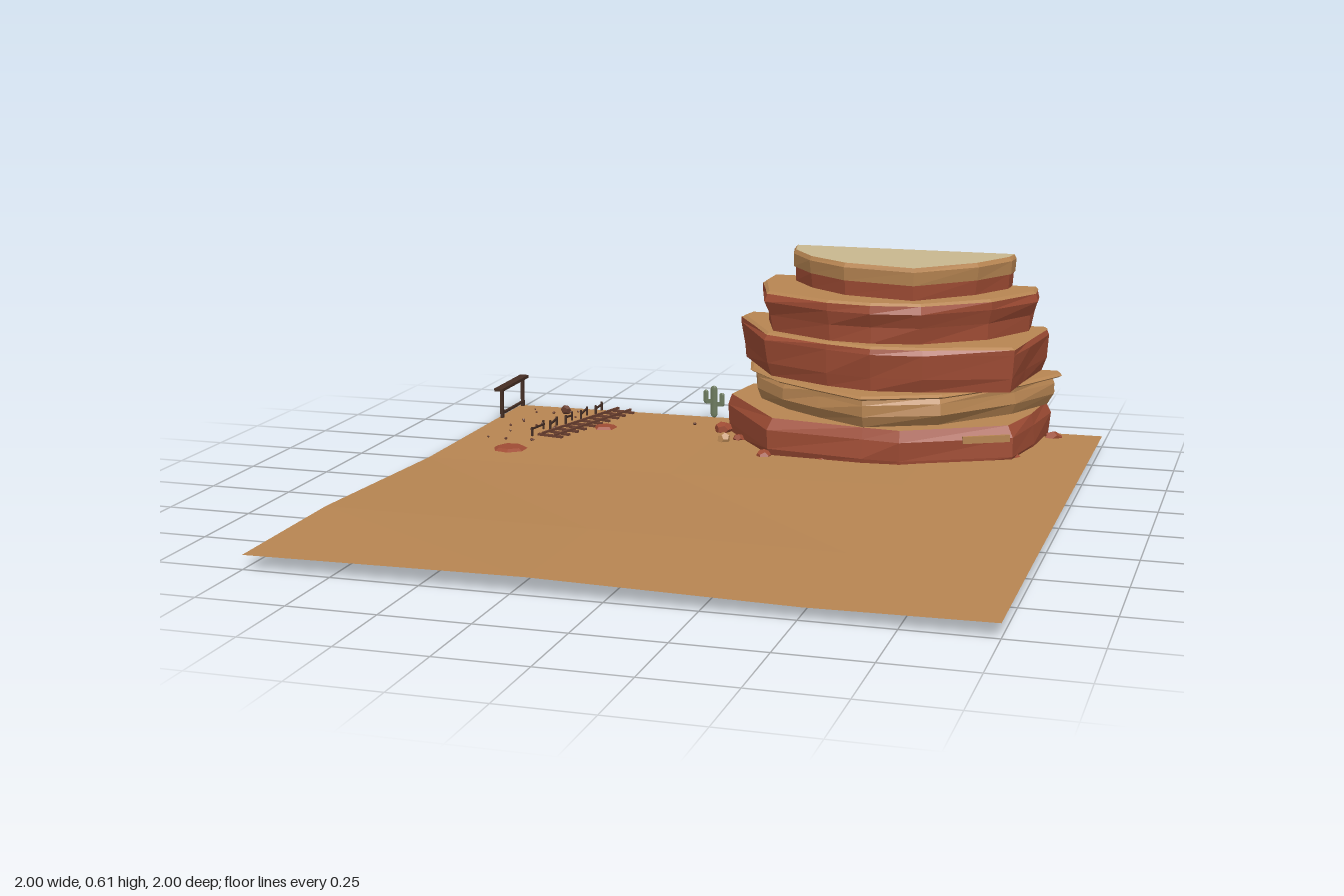
import * as THREE from 'three';

const mat = (name, color, side = THREE.FrontSide) => {
  const m = new THREE.MeshStandardMaterial({ color, side, flatShading: true });
  m.name = name;
  return m;
};

export function createModel() {
  const root = new THREE.Group();
  root.name = 'desertMesa';
  // Ground and rock layers are open shells
  const sand = mat('sand', 0xb78552, THREE.DoubleSide);
  const red = mat('redRock', 0x9f4c34, THREE.DoubleSide);
  const cap = mat('paleCap', 0xc8b78f, THREE.DoubleSide);
  const wood = mat('darkWood', 0x452e24);
  const plank = mat('sleeperWood', 0x6b4030);
  const green = mat('cactusGreen', 0x6c7a5e);

  const add = (name, geo, material, x = 0, y = 0, z = 0, parent = root) => {
    const m = new THREE.Mesh(geo, material);
    m.name = name;
    m.position.set(x, y, z);
    parent.add(m);
    return m;
  };
  const group = (name) => {
    const g = new THREE.Group();
    g.name = name;
    root.add(g);
    return g;
  };
  let seed = 7;
  const rand = () => (seed = (seed * 16807) % 2147483647) / 2147483647;

  // Ground: a few large, gently tilted facets
  const lines = [-1, -0.21, 0.51, 1];
  const heights = [
    [0.008, 0.01, 0.03, 0.031],
    [0.01, 0.014, 0.033, 0.034],
    [0.04, 0.037, 0.028, 0.036],
    [0.036, 0.044, 0.03, 0.035],
  ];
  const ground = new THREE.PlaneGeometry(2, 2, 3, 3).rotateX(-Math.PI / 2).rotateY(Math.PI / 2);
  const gp = ground.attributes.position;
  for (let i = 0; i < gp.count; i++) {
    const c = Math.round((gp.getX(i) + 1) * 1.5), r = Math.round((gp.getZ(i) + 1) * 1.5);
    gp.setXYZ(i, lines[c], heights[r][c], lines[r]);
  }
  ground.computeVertexNormals();
  add('ground', ground, sand);

  // Rock layer: outline open at the back, swept through [y, scale] rings, capped above and below
  const mesa = group('mesa');
  const cx = 0.33, cz = -1;
  const layer = (name, outline, rings, wall, top, rough = 0.008) => {
    const loops = rings.map(([y, s], k) => outline.map(([x, z], i) => {
      const f = s + rough * Math.sin(i * 2.3 + k * 1.9);
      return [cx + (x - cx) * f, y, cz + (z - cz) * f];
    }));
    const pos = [];
    const tri = (...p) => p.forEach((v) => pos.push(...v));
    const n = outline.length - 1;
    for (let k = 0; k < loops.length - 1; k++) {
      const a = loops[k], b = loops[k + 1];
      for (let i = 0; i < n; i++) {
        tri(a[i], a[i + 1], b[i + 1]);
        tri(a[i], b[i + 1], b[i]);
      }
    }
    const wallCount = pos.length / 3;
    const lo = loops[0], hi = loops[loops.length - 1];
    for (let i = 0; i < n; i++) {
      tri([cx, hi[0][1], cz], hi[i], hi[i + 1]);
      tri([cx, lo[0][1], cz], lo[i + 1], lo[i]);
    }
    const g = new THREE.BufferGeometry();
    g.setAttribute('position', new THREE.Float32BufferAttribute(pos, 3));
    g.computeVertexNormals();
    g.addGroup(0, wallCount, 0);
    g.addGroup(wallCount, n * 6, 1);
    add(name, g, [wall, top], 0, 0, 0, mesa);
  };

  const base = [[-0.18, -1], [-0.2, -0.82], [0.02, -0.5], [0.33, -0.455], [0.45, -0.445], [0.77, -0.61], [0.81, -0.8], [0.83, -1]];
  const shelf = [[-0.17, -1], [-0.11, -0.77], [0.02, -0.62], [0.16, -0.53], [0.33, -0.43], [0.565, -0.53], [0.77, -0.77], [0.87, -0.96], [0.86, -1]];
  const middle = [[-0.18, -1], [-0.19, -0.94], [-0.03, -0.65], [0.19, -0.55], [0.34, -0.51], [0.5, -0.53], [0.77, -0.62], [0.79, -0.78], [0.82, -1]];
  const upper = [[-0.1, -1], [-0.1, -0.88], [-0.035, -0.67], [0.19, -0.56], [0.33, -0.545], [0.485, -0.57], [0.68, -0.72], [0.79, -0.91], [0.785, -1]];
  const crown = [[-0.02, -1], [0, -0.9], [0.085, -0.775], [0.22, -0.67], [0.45, -0.62], [0.62, -0.785], [0.7, -0.935], [0.705, -1]];

  layer('baseLayer', base, [[0, 0.98], [0.04, 1], [0.1, 1], [0.135, 0.97]], red, sand);
  layer('tanLayer', shelf, [[0.135, 0.92], [0.17, 0.96], [0.205, 0.95], [0.225, 0.94]], sand, sand);
  layer('shelf', shelf, [[0.225, 0.98], [0.231, 1], [0.238, 0.98]], sand, sand, 0);
  layer('middleLayer', middle, [[0.238, 0.96], [0.28, 0.98], [0.355, 1], [0.372, 0.99]], red, sand);
  layer('middleRim', middle, [[0.372, 0.99], [0.379, 0.97]], sand, sand, 0);
  layer('upperLayer', upper, [[0.379, 0.95], [0.43, 0.96], [0.475, 1], [0.5, 0.99]], red, sand);
  layer('upperRim', upper, [[0.5, 0.99], [0.508, 0.97]], sand, sand, 0);
  layer('crownBase', crown, [[0.508, 0.98], [0.555, 0.99]], red, sand, 0.004);
  layer('crown', crown, [[0.555, 1], [0.597, 1.01], [0.61, 0.985]], sand, cap, 0.004);

  // Pale streak on the base layer
  const streak = add('paleStreak', new THREE.BoxGeometry(0.15, 0.022, 0.009), sand, 0.695, 0.1, -0.57, mesa);
  streak.rotation.y = 0.476;

  // Boulders round the foot of the mesa and on the flats
  const boulders = group('boulders');
  const boulder = (x, y, z, r, m) => {
    const b = add('boulder', new THREE.DodecahedronGeometry(r, 0), m, x, y, z, boulders);
    b.rotation.set(rand() * 3, rand() * 3, 0);
    b.scale.y = 0.75;
  };
  [[-0.21, -0.8, 0.03], [0.01, -0.49, 0.024], [-0.13, -0.7, 0.02], [0.2, -0.49, 0.024], [0.53, -0.505, 0.022],
    [0.77, -0.65, 0.026], [0.85, -0.95, 0.032]].forEach(([x, z, r]) => boulder(x, r * 0.75, z, r, red));
  boulder(-0.17, 0.022, -0.665, 0.022, sand);
  boulder(-0.8, 0.022, -0.91, 0.019, plank);

  // Pebbles scattered on the left flats
  for (let i = 0; i < 18; i++) {
    boulder(-0.97 + rand() * 0.23, 0.017, -0.95 + rand() * 0.5, 0.003 + rand() * 0.003, plank);
  }
  boulder(-0.33, 0.014, -0.87, 0.006, plank);

  // Flat red stones
  [[-0.6, -0.74, 0.041, 5], [-0.79, -0.37, 0.055, 7]].forEach(([x, z, r, sides]) => {
    const s = add('flatStone', new THREE.CylinderGeometry(r * 0.75, r, 0.008, sides), red, x, z > -0.5 ? 0.019 : 0.016, z);
    s.rotation.y = r * 20;
  });

  // Railway track: two rails on wooden sleepers
  const track = group('track');
  track.position.set(-0.673, 0.012, -0.77);
  track.rotation.y = -0.27;
  for (const x of [-0.025, 0.025]) add('rail', new THREE.BoxGeometry(0.006, 0.007, 0.44), plank, x, 0.011, 0, track);
  for (let i = 0; i < 10; i++) {
    const s = add('sleeper', new THREE.BoxGeometry(0.09, 0.007, 0.012), plank, 0, 0.004, -0.205 + i * 0.046, track);
    s.rotation.y = (rand() - 0.5) * 0.2;
  }

  // Broken fence: short panels stepping along the track
  const fence = group('fence');
  for (let i = 0; i < 5; i++) {
    const x = -0.7 - i * 0.023, z = -0.96 + i * 0.085;
    const len = i === 4 ? 0.13 : 0.075;
    for (const d of [-0.4, 0.4]) add('fencePost', new THREE.BoxGeometry(0.006, 0.03, 0.006), wood, x, 0.025, z + d * len, fence);
    const bar = add('fenceRail', new THREE.BoxGeometry(0.005, 0.006, len * 0.9), wood, x, 0.03, z, fence);
    bar.rotation.x = (rand() - 0.5) * 0.25;
  }

  // Timber gate at the left back corner
  const gate = group('gate');
  for (const z of [-0.98, -0.79]) add('gatePost', new THREE.BoxGeometry(0.01, 0.1, 0.012), wood, -0.985, 0.06, z, gate);
  add('gateBeam', new THREE.BoxGeometry(0.03, 0.01, 0.24), wood, -0.985, 0.111, -0.88, gate);
  add('gateCrossbar', new THREE.BoxGeometry(0.008, 0.008, 0.2), wood, -0.985, 0.025, -0.885, gate);

  // Cactus, slim against the back edge
  const cactus = group('cactus');
  cactus.position.set(-0.3, 0.01, -0.995);
  cactus.scale.z = 0.4;
  add('trunk', new THREE.CapsuleGeometry(0.012, 0.086, 3, 8), green, 0, 0.055, 0, cactus);
  for (const [side, y] of [[-1, 0.055], [1, 0.047]]) {
    add('armJoint', new THREE.BoxGeometry(0.028, 0.014, 0.014), green, side * 0.016, y, 0, cactus);
    add('arm', new THREE.CapsuleGeometry(0.009, 0.03, 3, 8), green, side * 0.028, y + 0.016, 0, cactus);
  }
  return root;
}
